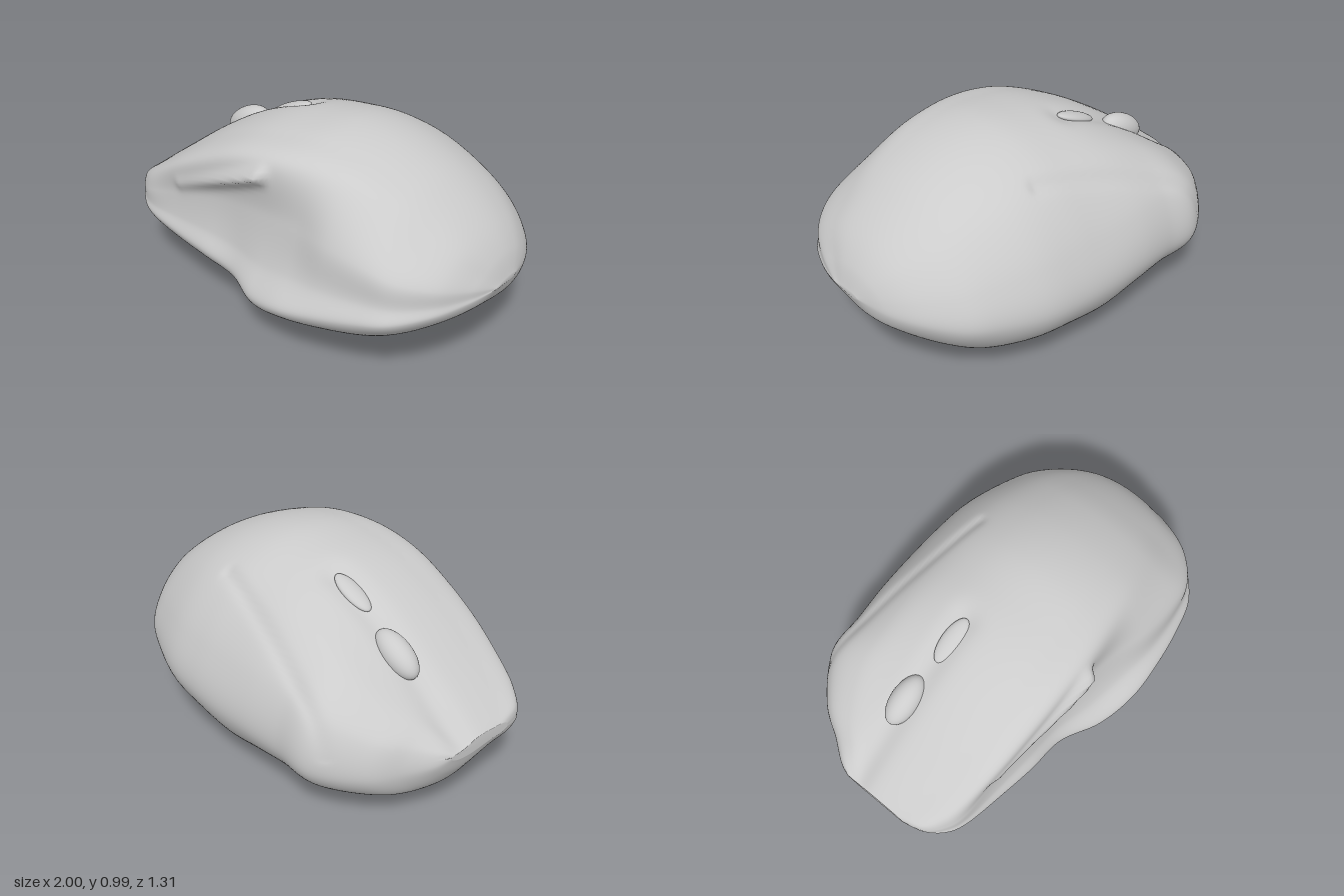
import * as THREE from 'three';

// Stations along the body: x, top, bottom, ledge z, ledge y, thumb waist z,
// thumb-side crest z, crest y, far side depth, far side y
const STATIONS = [
  [-1.0, 0.43, 0.36, 0.20, 0.39, 0.20, 0.18, 0.42, 0.15, 0.39],
  [-0.97, 0.455, 0.28, 0.30, 0.37, 0.30, 0.28, 0.44, 0.22, 0.36],
  [-0.9, 0.51, 0.18, 0.38, 0.33, 0.37, 0.34, 0.48, 0.32, 0.33],
  [-0.8, 0.585, 0.125, 0.425, 0.31, 0.41, 0.38, 0.54, 0.47, 0.31],
  [-0.6, 0.73, 0.09, 0.46, 0.29, 0.42, 0.42, 0.66, 0.615, 0.31],
  [-0.4, 0.85, 0.065, 0.49, 0.28, 0.43, 0.44, 0.76, 0.625, 0.32],
  [-0.2, 0.93, 0.035, 0.505, 0.25, 0.44, 0.45, 0.84, 0.645, 0.33],
  [0.0, 0.97, 0.0, 0.60, 0.24, 0.46, 0.45, 0.88, 0.655, 0.33],
  [0.2, 0.985, 0.03, 0.645, 0.28, 0.49, 0.43, 0.89, 0.65, 0.33],
  [0.4, 0.95, 0.055, 0.64, 0.32, 0.54, 0.40, 0.87, 0.63, 0.34],
  [0.6, 0.87, 0.10, 0.61, 0.36, 0.545, 0.36, 0.80, 0.565, 0.36],
  [0.75, 0.775, 0.19, 0.56, 0.39, 0.51, 0.32, 0.71, 0.49, 0.38],
  [0.88, 0.665, 0.28, 0.43, 0.42, 0.40, 0.26, 0.62, 0.355, 0.41],
  [0.96, 0.56, 0.35, 0.27, 0.44, 0.25, 0.16, 0.53, 0.21, 0.43],
  [1.0, 0.46, 0.44, 0.12, 0.45, 0.11, 0.08, 0.455, 0.05, 0.45],
];
const { lerp, smoothstep } = THREE.MathUtils;

// Smooth interpolation of the station parameters, t in 0..1
function stationAt(t) {
  const last = STATIONS.length - 1;
  const f = t * last, i = Math.min(Math.floor(f), last - 1), u = f - i;
  const at = (k) => STATIONS[Math.max(0, Math.min(last, k))];
  return STATIONS[0].map((_, c) => {
    const [a, b, d, e] = [at(i - 1)[c], at(i)[c], at(i + 1)[c], at(i + 2)[c]];
    return b + 0.5 * u * (d - a + u * (2 * a - 5 * b + 4 * d - e + u * (3 * (b - d) + e - a)));
  });
}

// Closed cross-section: up the thumb side, over the top, down the far side, under
function sectionAt(t) {
  const [x, top, bottom, ledge, ledgeY, waist, crest, crestY, far, farY] = stationAt(t);
  const nose = 1 - smoothstep(x, -0.8, 0.1);
  const onFar = (s) => lerp(farY, top, s);
  const underRise = lerp(0.4, 0.28, smoothstep(x, 0.1, 0.6));
  const profile = [
    [ledge, ledgeY],
    [lerp(ledge, waist, 0.6), lerp(ledgeY, crestY, 0.22)],
    [waist, lerp(ledgeY, crestY, 0.58)],
    [crest, crestY],
    [crest * 0.6, lerp(crestY, top, 0.75)],
    [0, top],
    [-0.33 * far, onFar(0.93)],
    [-0.62 * far, onFar(lerp(0.76, 0.87, nose))],
    [-0.9 * far, onFar(lerp(0.38, 0.62, nose))],
    [-far, farY],
    [-0.78 * far, lerp(bottom, farY, 0.32)],
    [-0.27 * far, bottom],
    [0.45 * ledge, lerp(bottom, ledgeY, underRise)],
    [0.85 * ledge, lerp(bottom, ledgeY, 0.6)],
  ];
  return new THREE.CatmullRomCurve3(profile.map(([z, y]) => new THREE.Vector3(x, y, z)), true);
}

// Gaussian weight around a segment in a plane
function nearSegment(px, py, [ax, ay], [bx, by], width) {
  const dx = bx - ax, dy = by - ay;
  const s = Math.max(0, Math.min(1, ((px - ax) * dx + (py - ay) * dy) / (dx * dx + dy * dy)));
  const d = Math.hypot(px - ax - s * dx, py - ay - s * dy);
  return Math.exp(-((d / width) ** 2));
}

// Surface details: tapered thumb button ridge, button seam and wheel channel
function addDetail(p) {
  if (p.z > 0.25) {
    const height = lerp(0.015, 0.055, smoothstep(p.x, -0.6, 0));
    p.z += height * nearSegment(p.x, p.y, [-0.58, 0.56], [-0.02, 0.81], 0.035);
  }
  if (p.y > 0.4) {
    p.y -= 0.018 * nearSegment(p.x, p.z, [-0.68, -0.58], [0.25, -0.37], 0.025);
    p.y -= 0.025 * nearSegment(p.x, p.z, [-0.98, -0.09], [-0.2, -0.09], 0.07);
  }
  return p;
}

// Four-sided opening in the underside, as x and z corners
const OPENING = [[0.03, -0.02], [0.14, 0.35], [0.6, 0.32], [0.52, -0.12]];

// Signed distance to the nearest opening edge (negative inside) and its normal
function openingEdge(x, z) {
  return OPENING.map(([ax, az], i) => {
    const [bx, bz] = OPENING[(i + 1) % OPENING.length];
    const length = Math.hypot(bx - ax, bz - az);
    const nx = (az - bz) / length, nz = (bx - ax) / length;
    return { distance: nx * (x - ax) + nz * (z - az), nx, nz };
  }).reduce((a, b) => (b.distance > a.distance ? b : a));
}

// Pull underside vertices onto the opening's edges so they run straight
function snapToOpening(p) {
  const { distance, nx, nz } = openingEdge(p.x, p.z);
  if (p.y < 0.3 && Math.abs(distance) < 0.012) {
    p.x -= distance * nx;
    p.z -= distance * nz;
  }
  return p;
}

function bodyGeometry() {
  const rings = 170, around = 160;
  const points = [], index = [];
  for (let i = -1; i <= rings + 1; i++) {
    const curve = sectionAt(Math.max(0, Math.min(1, i / rings)));
    const ring = [];
    for (let j = 0; j < around; j++) ring.push(snapToOpening(addDetail(curve.getPoint(j / around))));
    // The outermost rings close the two ends
    if (i < 0 || i > rings) {
      const centre = ring.reduce((s, p) => s.add(p), new THREE.Vector3()).divideScalar(around);
      ring.forEach((p) => p.copy(centre));
    }
    points.push(...ring);
  }
  const addFace = (...corners) => {
    const c = corners.reduce((s, k) => s.add(points[k]), new THREE.Vector3()).divideScalar(3);
    if (c.y > 0.3 || openingEdge(c.x, c.z).distance > 0) index.push(...corners);
  };
  for (let i = 0; i < rings + 2; i++) {
    for (let j = 0; j < around; j++) {
      const k = (j + 1) % around;
      const a = i * around + j, b = a + around, c = (i + 1) * around + k, d = i * around + k;
      addFace(a, b, c);
      addFace(a, c, d);
    }
  }
  const geometry = new THREE.BufferGeometry().setFromPoints(points);
  geometry.setIndex(index);
  geometry.computeVertexNormals();
  return geometry;
}

export function createModel() {
  const group = new THREE.Group();
  const material = new THREE.MeshStandardMaterial({ color: 0xcccccc, side: THREE.DoubleSide });

  const add = (name, geometry) => {
    const mesh = new THREE.Mesh(geometry, material);
    mesh.name = name;
    group.add(mesh);
    return mesh;
  };

  add('body', bodyGeometry());

  // Scroll wheel and the low button behind it, tilted with the top surface
  const ball = new THREE.SphereGeometry(1, 32, 20);
  const wheel = add('scrollWheel', ball);
  wheel.scale.set(0.135, 0.07, 0.07);
  wheel.position.set(-0.6, 0.7, -0.1);
  wheel.rotation.z = 0.5;

  const button = add('topButton', ball);
  button.scale.set(0.12, 0.025, 0.05);
  button.position.set(-0.29, 0.865, -0.08);
  button.rotation.z = 0.4;

  return group;
}
